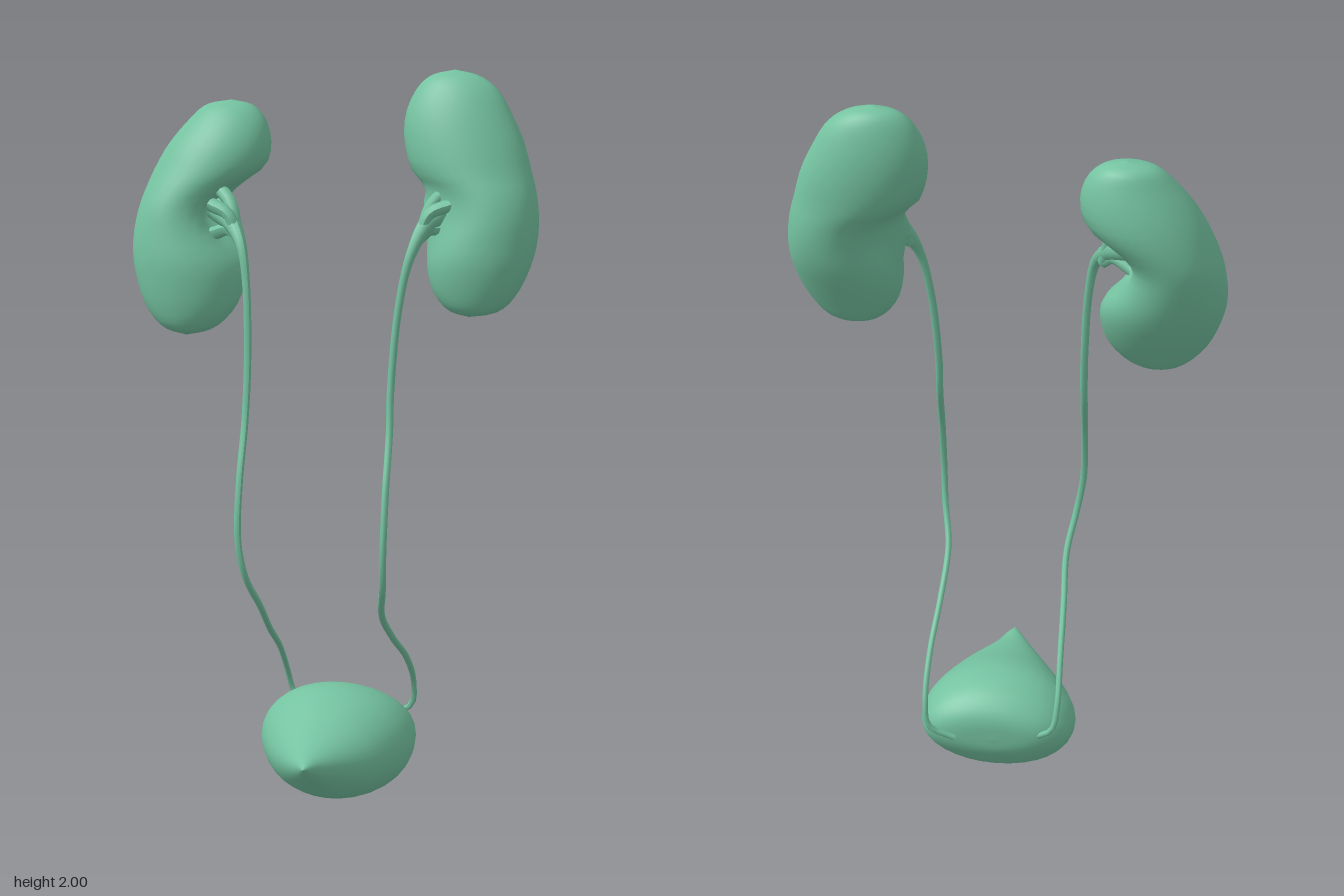
import * as THREE from 'three';
import { mergeVertices } from 'three/addons/utils/BufferGeometryUtils.js';

const material = new THREE.MeshStandardMaterial({ color: 0x74c2a0, roughness: 0.8 });

// Rounded body lofted upwards through rows of [height, xMin, xMax, zMin, zMax].
// dent(height) hollows the side facing inner (-1 or +1 in x).
function loft(rows, { rings = 40, sides = 32, inner = 0, dent = () => 0 } = {}) {
  const curve = (i, j) => new THREE.CatmullRomCurve3(
    rows.map(r => new THREE.Vector3(r[0], r[i], r[j])), false, 'catmullrom', 0.5);
  const xs = curve(1, 2), zs = curve(3, 4);
  const pos = [], idx = [];
  for (let i = 0; i <= rings; i++) {
    const t = 0.5 - 0.5 * Math.cos(Math.PI * i / rings); // denser at the poles
    const a = xs.getPoint(t), b = zs.getPoint(t);
    for (let j = 0; j < sides; j++) {
      const ang = 2 * Math.PI * j / sides, c = Math.cos(ang), s = Math.sin(ang);
      let x = (a.y + a.z) / 2 + c * (a.z - a.y) / 2;
      const z = (b.y + b.z) / 2 + s * (b.z - b.y) / 2;
      if (c * inner > 0) x -= inner * dent(a.x) * c * Math.exp(-((s - 0.15) ** 2) / 0.2);
      pos.push(x, a.x, z);
      if (i < rings) {
        const p = i * sides + j, q = i * sides + (j + 1) % sides;
        idx.push(p, p + sides, q, q, p + sides, q + sides);
      }
    }
  }
  let g = new THREE.BufferGeometry();
  g.setAttribute('position', new THREE.Float32BufferAttribute(pos, 3));
  g.setIndex(idx);
  g = mergeVertices(g, 1e-5);
  g.computeVertexNormals();
  return g;
}

// Tube whose radius follows radius(t) along the path
function taperedTube(points, radius, segments, sides = 8) {
  const path = new THREE.CatmullRomCurve3(points.map(p => new THREE.Vector3(...p)));
  const g = new THREE.TubeGeometry(path, segments, 1, sides);
  const pos = g.attributes.position, v = new THREE.Vector3();
  for (let i = 0; i < pos.count; i++) {
    const t = Math.floor(i / (sides + 1)) / segments, c = path.getPointAt(t);
    v.fromBufferAttribute(pos, i).sub(c).multiplyScalar(radius(t)).add(c);
    pos.setXYZ(i, v.x, v.y, v.z);
  }
  g.computeVertexNormals();
  return g;
}

function add(parent, name, geometry) {
  const m = new THREE.Mesh(geometry, material);
  m.name = name;
  parent.add(m);
  return m;
}

export function createModel() {
  const model = new THREE.Group();
  model.name = 'urinarySystem';

  // Kidneys: bean shapes, notched on the side facing the middle
  const leftRows = [
    [1.38, 0.38, 0.38, -0.05, -0.05],
    [1.40, 0.32, 0.46, -0.11, 0.0],
    [1.45, 0.28, 0.505, -0.14, 0.02],
    [1.52, 0.265, 0.535, -0.175, 0.03],
    [1.58, 0.28, 0.546, -0.20, 0.025],
    [1.64, 0.305, 0.545, -0.213, 0.015],
    [1.70, 0.285, 0.535, -0.222, 0.0],
    [1.75, 0.215, 0.52, -0.23, -0.015],
    [1.82, 0.186, 0.498, -0.235, -0.035],
    [1.89, 0.187, 0.463, -0.23, -0.06],
    [1.95, 0.212, 0.425, -0.215, -0.09],
    [1.985, 0.25, 0.375, -0.195, -0.12],
    [2.0, 0.31, 0.31, -0.16, -0.16],
  ];
  const rightRows = [
    [1.29, -0.39, -0.39, -0.05, -0.05],
    [1.315, -0.455, -0.31, -0.11, 0.01],
    [1.37, -0.505, -0.257, -0.155, 0.03],
    [1.44, -0.535, -0.236, -0.20, 0.034],
    [1.50, -0.549, -0.24, -0.23, 0.03],
    [1.56, -0.55, -0.275, -0.252, 0.015],
    [1.62, -0.54, -0.30, -0.27, 0.0],
    [1.67, -0.525, -0.275, -0.28, -0.015],
    [1.73, -0.50, -0.205, -0.285, -0.035],
    [1.79, -0.465, -0.188, -0.275, -0.06],
    [1.85, -0.415, -0.202, -0.255, -0.10],
    [1.89, -0.37, -0.24, -0.235, -0.14],
    [1.905, -0.30, -0.30, -0.19, -0.19],
  ];
  const notch = y0 => y => 0.06 * Math.exp(-(((y - y0) / 0.07) ** 2));
  add(model, 'leftKidney', loft(leftRows, { inner: -1, dent: notch(1.65) }));
  add(model, 'rightKidney', loft(rightRows, { inner: 1, dent: notch(1.61) }));

  // Ureters: funnel from the kidney, narrow and curve down to the back of the bladder
  const leftPath = [
    [0.33, 1.66, -0.07], [0.275, 1.625, -0.03], [0.24, 1.55, 0.015], [0.215, 1.42, 0.04],
    [0.203, 1.2, 0.075], [0.207, 1.1, 0.1], [0.213, 0.95, 0.165], [0.215, 0.8, 0.195],
    [0.21, 0.7, 0.175], [0.192, 0.6, 0.105], [0.198, 0.5, 0.0], [0.21, 0.4, -0.12],
    [0.212, 0.3, -0.2], [0.2, 0.22, -0.224], [0.13, 0.18, -0.216],
  ];
  const rightPath = [
    [-0.31, 1.63, -0.08], [-0.255, 1.6, -0.035], [-0.215, 1.55, 0.01], [-0.195, 1.45, 0.035],
    [-0.184, 1.25, 0.065], [-0.182, 1.1, 0.1], [-0.18, 0.95, 0.16], [-0.176, 0.8, 0.19],
    [-0.16, 0.7, 0.18], [-0.14, 0.6, 0.115], [-0.145, 0.5, 0.01], [-0.15, 0.4, -0.11],
    [-0.152, 0.3, -0.19], [-0.14, 0.23, -0.21], [-0.095, 0.19, -0.195],
  ];
  const ureterRadius = t => 0.011 + 0.021 * Math.exp(-((t / 0.07) ** 2)) - 0.003 * t;
  for (const [side, path, sx] of [['left', leftPath, 1], ['right', rightPath, -1]]) {
    add(model, side + 'Ureter', taperedTube(path, ureterRadius, 72));

    // Short branches spreading from the funnel into the notch
    const [x, y, z] = path[1];
    for (const [dy, dz] of [[0.09, -0.03], [0.045, 0.02], [-0.035, 0.0]]) {
      add(model, side + 'KidneyBranch', taperedTube(
        [[x - sx * 0.02, y - 0.04, z + 0.015], [x + sx * 0.005, y + dy * 0.5, z + dz * 0.5], [x + sx * 0.06, y + dy, z + dz - 0.03]],
        t => 0.015 + 0.004 * t, 8));
    }
  }

  // Bladder: lofted from the pointed front to the blunt back, then laid along z
  const bladderRows = [
    [-0.283, 0.025, 0.025, 0.215, 0.215],
    [-0.25, 0.0, 0.05, 0.182, 0.226],
    [-0.2, -0.04, 0.085, 0.138, 0.234],
    [-0.1, -0.113, 0.168, 0.06, 0.265],
    [0.0, -0.17, 0.217, 0.013, 0.303],
    [0.07, -0.192, 0.239, 0.005, 0.316],
    [0.14, -0.18, 0.234, 0.04, 0.302],
    [0.185, -0.145, 0.205, 0.09, 0.272],
    [0.208, -0.085, 0.145, 0.135, 0.235],
    [0.213, 0.02, 0.02, 0.18, 0.18],
  ];
  const bladder = loft(bladderRows);
  bladder.rotateX(-Math.PI / 2);
  add(model, 'bladder', bladder);

  return model;
}
